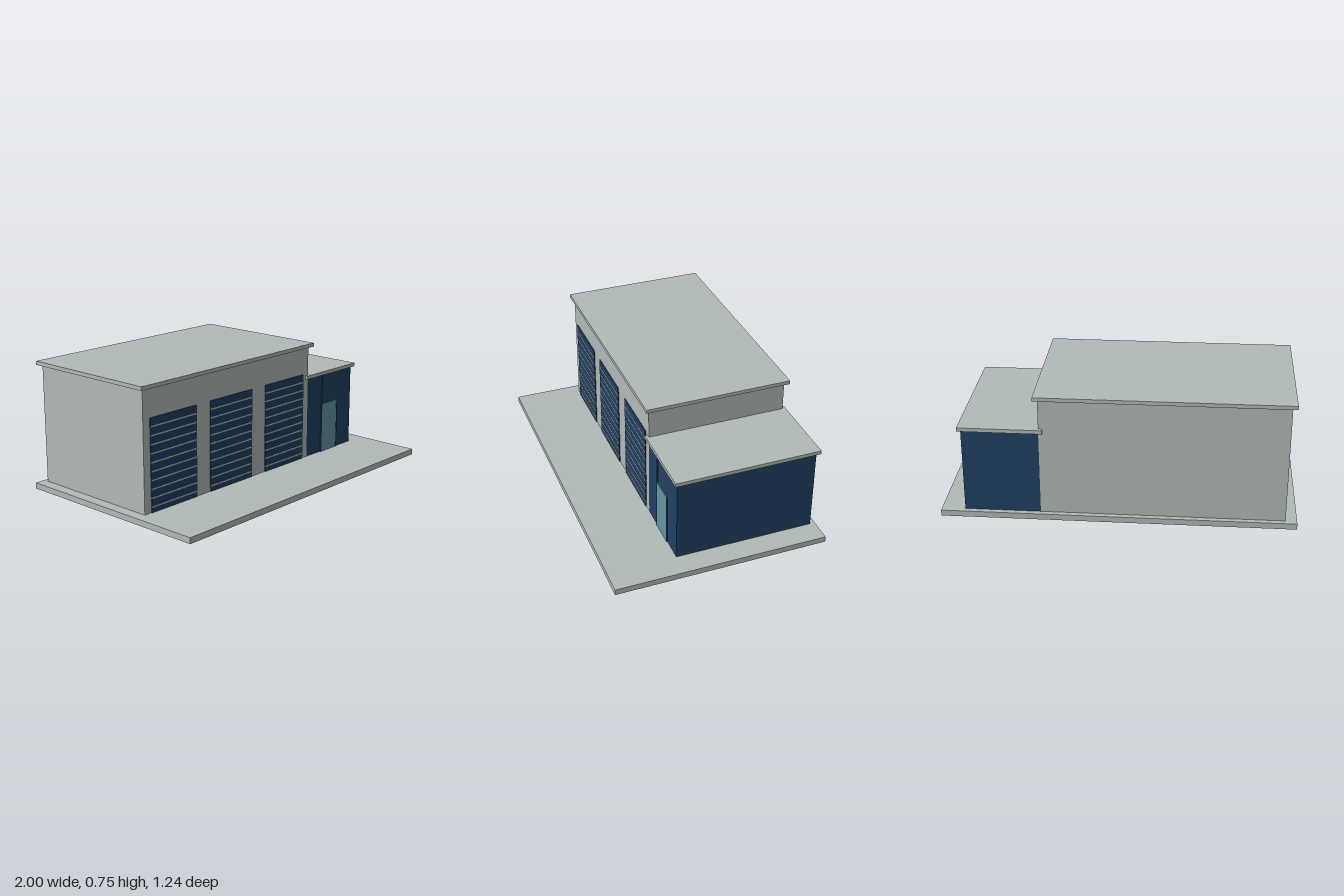
import * as THREE from 'three';

export function createModel() {
  const group = new THREE.Group();
  const make = (name, color) => {
    const m = new THREE.MeshStandardMaterial({ color });
    m.name = name;
    return m;
  };
  const concrete = make('concrete grey', 0xb2bbb9);
  const navy = make('navy cladding', 0x214063);
  const glass = make('teal glass', 0x6496a2);

  // Box given by its lower and upper limits on each axis
  const box = (name, material, [x0, x1], [y0, y1], [z0, z1], parent = group) => {
    const mesh = new THREE.Mesh(new THREE.BoxGeometry(x1 - x0, y1 - y0, z1 - z0), material);
    mesh.position.set((x0 + x1) / 2, (y0 + y1) / 2, (z0 + z1) / 2);
    mesh.name = name;
    parent.add(mesh);
    return mesh;
  };

  const ground = 0.035, front = 0.222, back = -0.592;

  // Ground slab
  box('baseSlab', concrete, [-1, 1], [0, ground], [-0.622, 0.622]);

  // Tall garage hall with overhanging flat roof
  box('hallWalls', concrete, [-0.936, 0.435], [ground, 0.728], [back, front]);
  box('hallRoof', concrete, [-0.962, 0.46], [0.728, 0.75], [-0.615, 0.244]);

  // Lower office annex with its own roof
  box('officeWalls', navy, [0.435, 0.866], [ground, 0.53], [back, front]);
  box('officeRoof', concrete, [0.412, 0.884], [0.53, 0.552], [-0.611, 0.238]);

  // Three roller doors with pale slat joints
  for (const x of [-0.712, -0.254, 0.213]) {
    const door = new THREE.Group();
    door.name = 'rollerDoor';
    const span = [x - 0.175, x + 0.175];
    box('doorPanel', navy, span, [ground, 0.564], [front, 0.227], door);
    for (let i = 0; i < 10; i++) {
      const y = 0.068 + i * 0.0498;
      box('slatJoint', concrete, span, [y - 0.004, y + 0.004], [front, 0.2285], door);
    }
    group.add(door);
  }

  // Office entrance: glass door and slim side trims
  box('entranceGlass', glass, [0.577, 0.72], [ground, 0.341], [front, 0.227]);
  box('leftTrim', navy, [0.57, 0.577], [ground, 0.52], [front, 0.228]);
  box('rightTrim', navy, [0.72, 0.727], [ground, 0.341], [front, 0.228]);

  return group;
}
